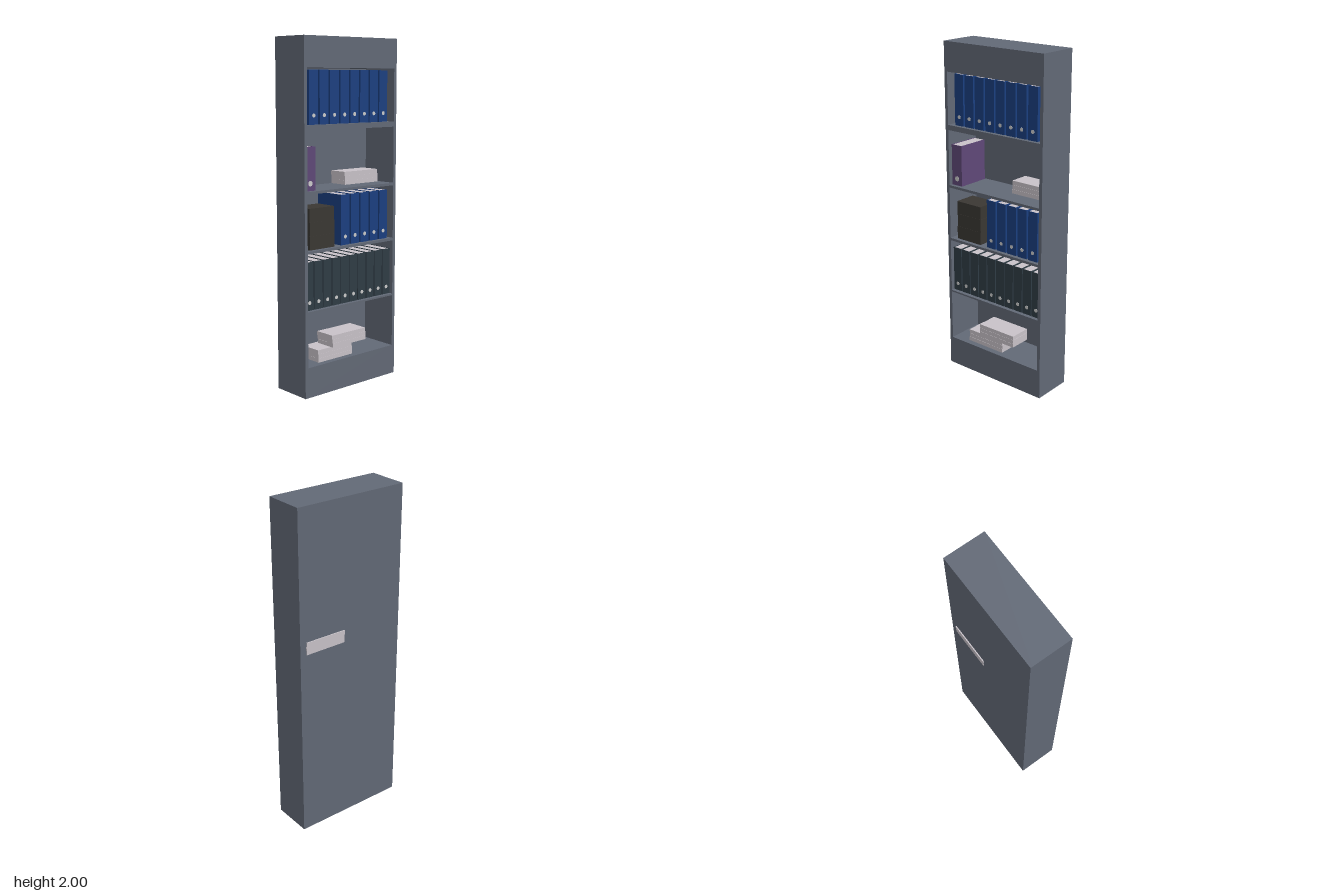
import * as THREE from 'three';

const mat = (color) => new THREE.MeshStandardMaterial({ color });
const STEEL = mat(0x626976), BLUE = mat(0x1b3f80), SLATE = mat(0x2f3c45), PURPLE = mat(0x5f4878);
const PAPER = mat(0xc8c2c8), DARK = mat(0x3a3733), RING = mat(0xcccccc);

// Box given by its limits on each axis
function box(name, material, x0, x1, y0, y1, z0, z1) {
  const mesh = new THREE.Mesh(new THREE.BoxGeometry(x1 - x0, y1 - y0, z1 - z0), material);
  mesh.position.set((x0 + x1) / 2, (y0 + y1) / 2, (z0 + z1) / 2);
  mesh.name = name;
  return mesh;
}

// Ring binder: spine, two covers, paper inside and a finger hole on the spine
function binder(name, material, x, y, w, h, holeY, holeR = 0.011) {
  const g = new THREE.Group();
  g.name = name;
  const t = 0.003, front = 0.102, back = -0.1, s = w / 2;
  g.add(box('spine', material, -s, s, 0, h, front - t, front));
  for (const side of [-1, 1]) {
    const c = side * (s - t / 2);
    g.add(box('cover', material, c - t / 2, c + t / 2, 0, h, back, front - t));
  }
  g.add(box('pages', PAPER, -s + t, s - t, 0.001, h - 0.002, back + 0.002, front - t));
  const hole = new THREE.Mesh(new THREE.CylinderGeometry(holeR, holeR, 0.002, 16), RING);
  hole.name = 'fingerHole';
  hole.rotation.x = Math.PI / 2;
  hole.position.set(0, holeY, front + 0.0005);
  g.add(hole);
  g.position.set(x, y, 0);
  return g;
}

function binderRow(name, material, count, firstX, pitch, y, w, h, holeY) {
  const row = new THREE.Group();
  row.name = name;
  for (let i = 0; i < count; i++) row.add(binder('binder', material, firstX + i * pitch, y, w, h, holeY));
  return row;
}

// Stack of layers with slightly uneven edges
function stack(name, material, layers, x0, x1, y0, y1, z0, z1) {
  const g = new THREE.Group();
  g.name = name;
  const step = (y1 - y0) / layers;
  for (let i = 0; i < layers; i++) {
    const dx = 0.0015 * Math.sin(i * 2.3), dz = 0.0015 * Math.cos(i * 1.7);
    g.add(box('layer', material, x0 + dx, x1 + dx, y0 + i * step, y0 + (i + 1) * step, z0 + dz, z1 + dz));
  }
  return g;
}

export function createModel() {
  const model = new THREE.Group();
  model.name = 'bookcase';

  // Cabinet: frame with five open bays, closed by a back panel
  const W = 0.35, IN = 0.33, FRONT = 0.125, BACK = -0.12, INNER = -0.11;
  const bays = [[0.175, 0.485], [0.495, 0.82], [0.835, 1.15], [1.165, 1.495], [1.525, 1.83]];
  const rect = (P, x, y0, y1) => {
    const p = new P();
    p.moveTo(-x, y0).lineTo(x, y0).lineTo(x, y1).lineTo(-x, y1).closePath();
    return p;
  };
  const outline = rect(THREE.Shape, W, 0, 2);
  for (const [y0, y1] of bays) outline.holes.push(rect(THREE.Path, IN, y0, y1));
  const frame = new THREE.Mesh(
    new THREE.ExtrudeGeometry(outline, { depth: FRONT - INNER, bevelEnabled: false }), STEEL);
  frame.position.z = INNER;
  frame.name = 'cabinetFrame';
  model.add(frame, box('backPanel', STEEL, -W, W, 0, 2, BACK, INNER));

  // Rows of binders
  model.add(binderRow('topBinders', BLUE, 8, -0.264, 0.0755, 1.525, 0.064, 0.295, 0.05));
  model.add(binderRow('middleBinders', BLUE, 5, -0.031, 0.0755, 0.835, 0.064, 0.29, 0.048));
  model.add(binderRow('darkBinders', SLATE, 10, -0.299, 0.0665, 0.495, 0.06, 0.275, 0.044));
  model.add(binder('purpleBinder', PURPLE, -0.29, 1.165, 0.075, 0.242, 0.041, 0.015));

  // Dark storage boxes
  model.add(stack('darkBoxes', DARK, 3, -0.294, -0.114, 0.835, 1.067, -0.035, 0.1));

  // Paper stacks; the upper one reaches through the back panel
  model.add(stack('upperPaper', PAPER, 3, 0.05, 0.31, 1.165, 1.24, -0.125, 0.01));
  model.add(stack('lowerPaper', PAPER, 3, -0.223, 0.037, 0.175, 0.247, -0.045, 0.087));
  model.add(stack('leaningPaper', PAPER, 3, -0.127, 0.132, 0.247, 0.317, -0.032, 0.1));

  return model;
}
